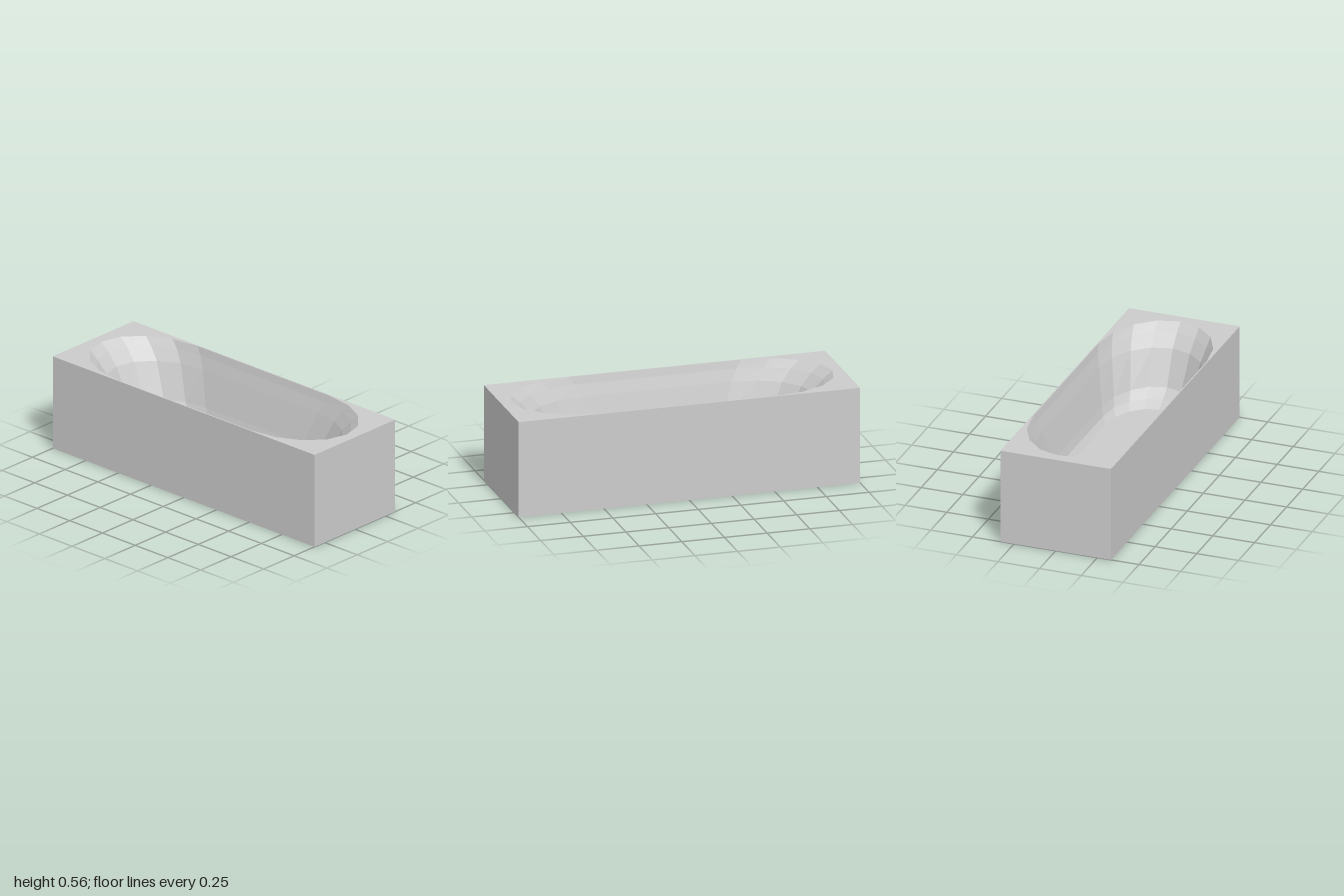
import * as THREE from 'three';

const WIDTH = 0.664, HEIGHT = 0.563, LENGTH = 2;

// Basin rings from rim to floor: half width, half length, straight half length, depth
const RINGS = [
  [0.325, 0.94, 0.505, 0],
  [0.316, 0.885, 0.475, 0.045],
  [0.297, 0.82, 0.44, 0.115],
  [0.25, 0.73, 0.37, 0.315],
  [0.235, 0.67, 0.345, 0.365],
  [0.21, 0.61, 0.32, 0.4],
];

// Stretched oval: four elliptical quarters joined by straight sides
function ringPoints([halfWidth, halfLength, straight, depth]) {
  const points = [];
  for (let q = 0; q < 4; q++) {
    for (let i = 0; i <= 4; i++) {
      if (q % 2 === 1 && i === 0) continue; // shared point at each end
      if (q % 2 === 1 && i === 4 && q === 4) continue;
      const a = (q + i / 4) * Math.PI / 2;
      const offset = q < 2 ? straight : -straight;
      points.push(new THREE.Vector3(
        halfWidth * Math.cos(a),
        HEIGHT - depth,
        offset + (halfLength - straight) * Math.sin(a),
      ));
    }
  }
  return points;
}

function basinGeometry() {
  const rings = RINGS.map(ringPoints);
  const n = rings[0].length;
  const positions = [];
  const triangle = (...corners) => corners.forEach((p) => positions.push(p.x, p.y, p.z));

  // Walls
  for (let r = 0; r < rings.length - 1; r++) {
    const upper = rings[r], lower = rings[r + 1];
    for (let i = 0; i < n; i++) {
      const j = (i + 1) % n;
      triangle(lower[i], lower[j], upper[j]);
      triangle(lower[i], upper[j], upper[i]);
    }
  }
  // Flat floor
  const floor = rings[rings.length - 1];
  const centre = new THREE.Vector3(0, floor[0].y, 0);
  for (let i = 0; i < n; i++) triangle(centre, floor[(i + 1) % n], floor[i]);

  const geometry = new THREE.BufferGeometry();
  geometry.setAttribute('position', new THREE.Float32BufferAttribute(positions, 3));
  geometry.computeVertexNormals();
  return geometry;
}

export function createModel() {
  const model = new THREE.Group();
  model.name = 'bathtub';
  const material = new THREE.MeshStandardMaterial({ color: 0xcccccc, flatShading: true });
  const add = (name, geometry) => {
    const mesh = new THREE.Mesh(geometry, material);
    mesh.name = name;
    model.add(mesh);
  };

  // Outer casing: a box without its top face
  const casing = new THREE.BoxGeometry(WIDTH, HEIGHT, LENGTH).translate(0, HEIGHT / 2, 0);
  const index = Array.from(casing.index.array);
  index.splice(12, 6);
  casing.setIndex(index);
  casing.clearGroups();
  add('casing', casing);

  // Top deck with the basin opening cut out
  const w = WIDTH / 2, l = LENGTH / 2;
  const deck = new THREE.Shape([[-w, -l], [w, -l], [w, l], [-w, l]].map(([x, y]) => new THREE.Vector2(x, y)));
  deck.holes.push(new THREE.Path(ringPoints(RINGS[0]).map((p) => new THREE.Vector2(p.x, -p.z))));
  add('deck', new THREE.ShapeGeometry(deck).rotateX(-Math.PI / 2).translate(0, HEIGHT, 0));

  // Hollow faceted basin
  add('basin', basinGeometry());
  return model;
}
